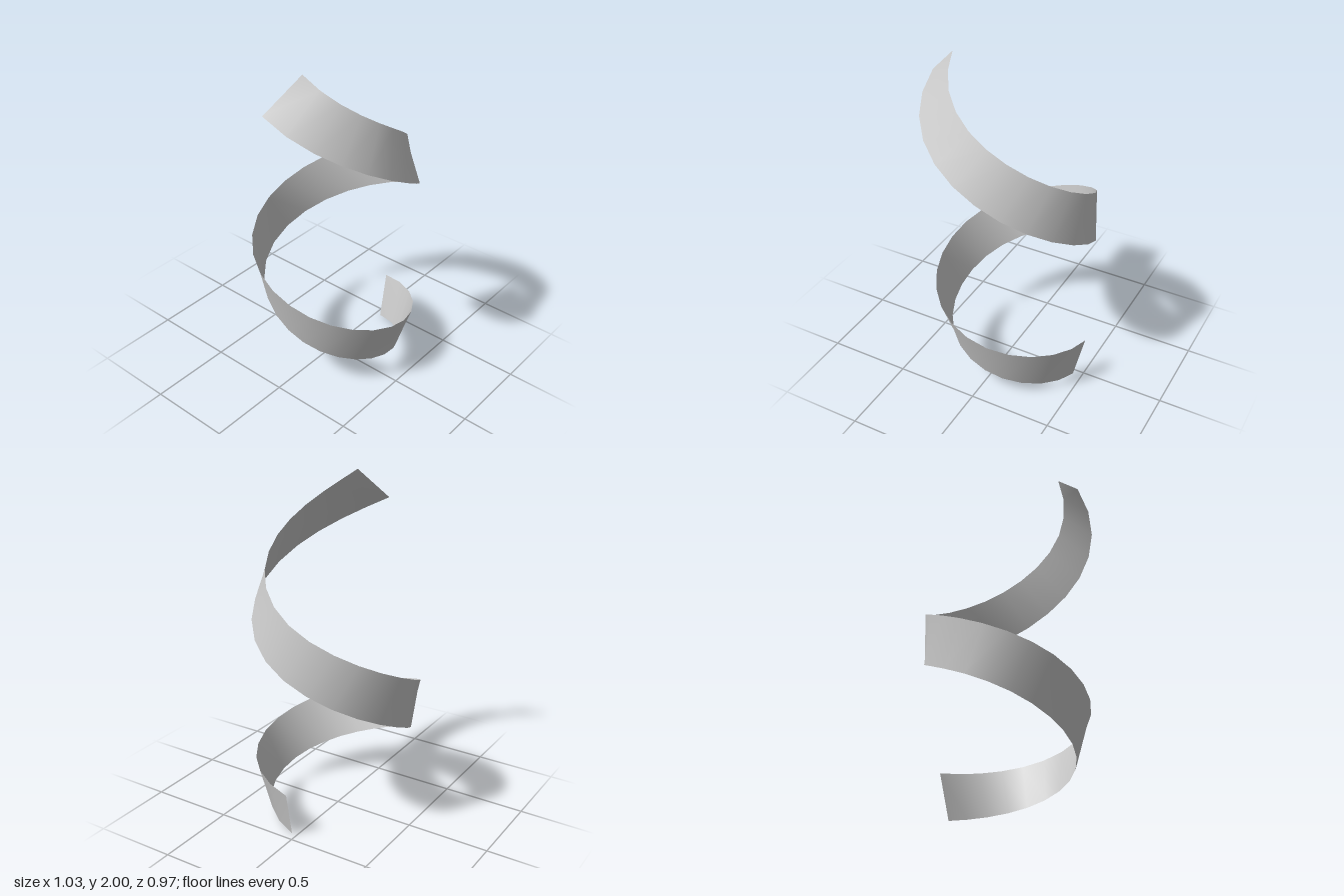
import * as THREE from 'three';

// Edge of the ribbon as a smooth curve of (angle in degrees, radius, height)
function edge(keys) {
  return new THREE.CatmullRomCurve3(
    keys.map(([deg, r, y]) => new THREE.Vector3(THREE.MathUtils.degToRad(deg), r, y)),
    false, 'catmullrom', 0.5);
}

const lowerEdge = edge([
  [4.5, 0.446, 0], [94.3, 0.385, 0.145], [184.1, 0.376, 0.35], [273.9, 0.46, 0.645],
  [363.7, 0.5, 0.995], [453.5, 0.485, 1.405], [543.3, 0.517, 1.81],
]);
const upperEdge = edge([
  [2.8, 0.51, 0.287], [87, 0.481, 0.415], [172, 0.458, 0.625], [259, 0.488, 0.9],
  [346, 0.476, 1.24], [434, 0.385, 1.62], [527.6, 0.328, 2],
]);

export function createModel() {
  const group = new THREE.Group();
  group.name = 'helixRibbon';

  // One and a half turns of ribbon, ruled between the two edges
  const segments = 33;
  const positions = [];
  const index = [];
  for (let i = 0; i <= segments; i++) {
    for (const curve of [lowerEdge, upperEdge]) {
      const { x: angle, y: radius, z: height } = curve.getPoint(i / segments);
      positions.push(radius * Math.cos(angle), height, radius * Math.sin(angle));
    }
    if (i < segments) {
      const a = i * 2;
      index.push(a, a + 1, a + 2, a + 1, a + 3, a + 2);
    }
  }
  const geometry = new THREE.BufferGeometry();
  geometry.setAttribute('position', new THREE.Float32BufferAttribute(positions, 3));
  geometry.setIndex(index);
  geometry.computeVertexNormals();

  const ribbon = new THREE.Mesh(geometry,
    new THREE.MeshStandardMaterial({ color: 0xcccccc, side: THREE.DoubleSide }));
  ribbon.name = 'twistedRibbon';
  group.add(ribbon);
  return group;
}
